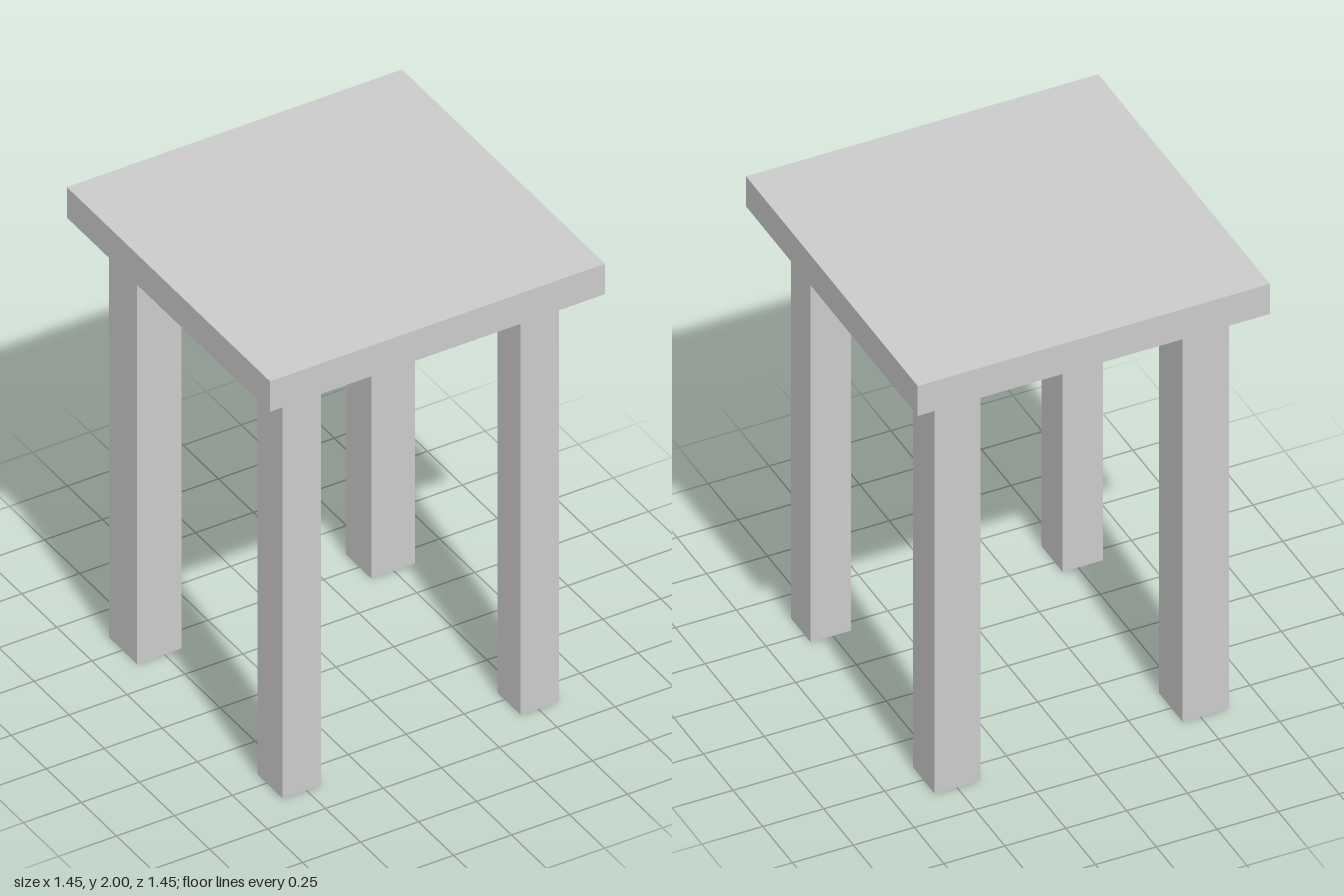
import * as THREE from 'three';

const SEAT_BOTTOM = 1.862;
const material = new THREE.MeshStandardMaterial({ color: 0xcccccc, flatShading: true });

// Box between two corners
function block(name, [x0, x1], [y0, y1], [z0, z1]) {
  const mesh = new THREE.Mesh(new THREE.BoxGeometry(x1 - x0, y1 - y0, z1 - z0), material);
  mesh.position.set((x0 + x1) / 2, (y0 + y1) / 2, (z0 + z1) / 2);
  mesh.name = name;
  return mesh;
}

export function createModel() {
  const group = new THREE.Group();
  group.name = 'stool';

  // Square slab seat
  group.add(block('seat', [-0.723, 0.723], [SEAT_BOTTOM, 2], [-0.723, 0.723]));

  // Four square legs, each cut slightly differently: x range, z range
  const legs = {
    frontLeftLeg: [[0.425, 0.591], [0.45, 0.614]],
    frontRightLeg: [[-0.602, -0.436], [0.435, 0.614]],
    backLeftLeg: [[0.403, 0.591], [-0.595, -0.413]],
    backRightLeg: [[-0.618, -0.427], [-0.595, -0.397]],
  };
  for (const [name, [x, z]] of Object.entries(legs)) {
    group.add(block(name, x, [0, SEAT_BOTTOM], z));
  }
  return group;
}
